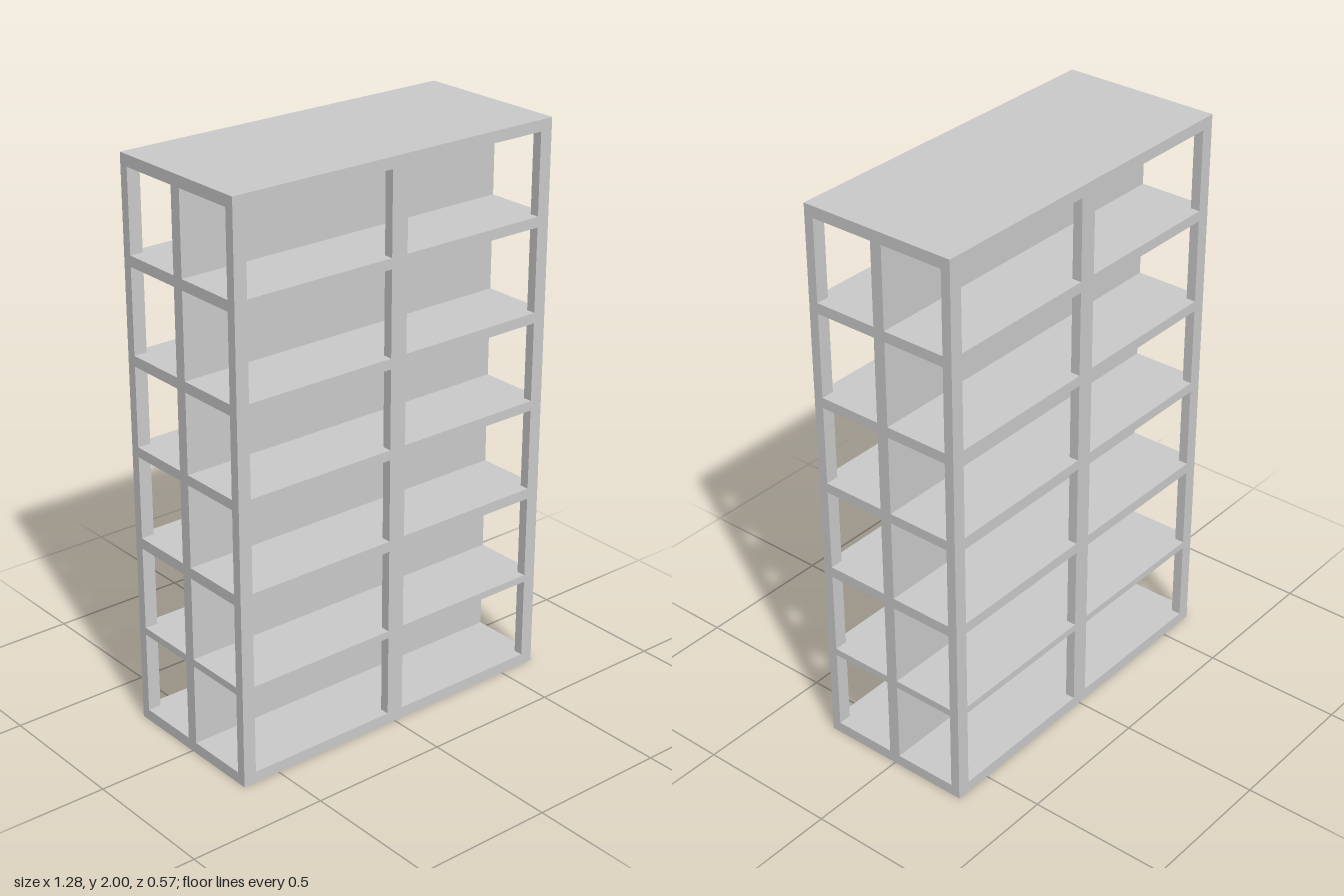
import * as THREE from 'three';

const W = 1.282, D = 0.568;          // overall width and depth
const POST_W = 0.047, POST_D = 0.034; // corner post section
const MID_W = 0.063, WALL = 0.042;    // middle post width, central panel thickness

// bottom and top height of every board, floor to roof
const BOARDS = [
  [0, 0.04], [0.332, 0.358], [0.655, 0.693], [0.986, 1.021],
  [1.302, 1.339], [1.637, 1.674], [1.96, 2],
];

export function createModel() {
  const group = new THREE.Group();
  const material = new THREE.MeshStandardMaterial({ color: 0xcccccc });

  // box standing between heights y0 and y1
  const addBox = (name, w, d, x, z, y0, y1) => {
    const mesh = new THREE.Mesh(new THREE.BoxGeometry(w, y1 - y0, d), material);
    mesh.position.set(x, (y0 + y1) / 2, z);
    mesh.name = name;
    group.add(mesh);
  };

  // horizontal boards
  BOARDS.forEach(([y0, y1], i) => {
    const name = i === 0 ? 'base' : i === BOARDS.length - 1 ? 'topBoard' : `shelf${i}`;
    addBox(name, W, D, 0, 0, y0, y1);
  });

  // uprights of each tier, open on all four sides around a central panel
  for (let i = 0; i < BOARDS.length - 1; i++) {
    const y0 = BOARDS[i][1], y1 = BOARDS[i + 1][0], tier = i + 1;
    addBox(`centralPanel${tier}`, W, WALL, 0, 0, y0, y1);
    for (const [end, sz] of [['front', 1], ['back', -1]]) {
      const z = sz * (D - POST_D) / 2;
      addBox(`${end}MiddlePost${tier}`, MID_W, POST_D, 0, z, y0, y1);
      for (const [side, sx] of [['Left', 1], ['Right', -1]]) {
        addBox(`${end}${side}Post${tier}`, POST_W, POST_D, sx * (W - POST_W) / 2, z, y0, y1);
      }
    }
  }
  return group;
}
